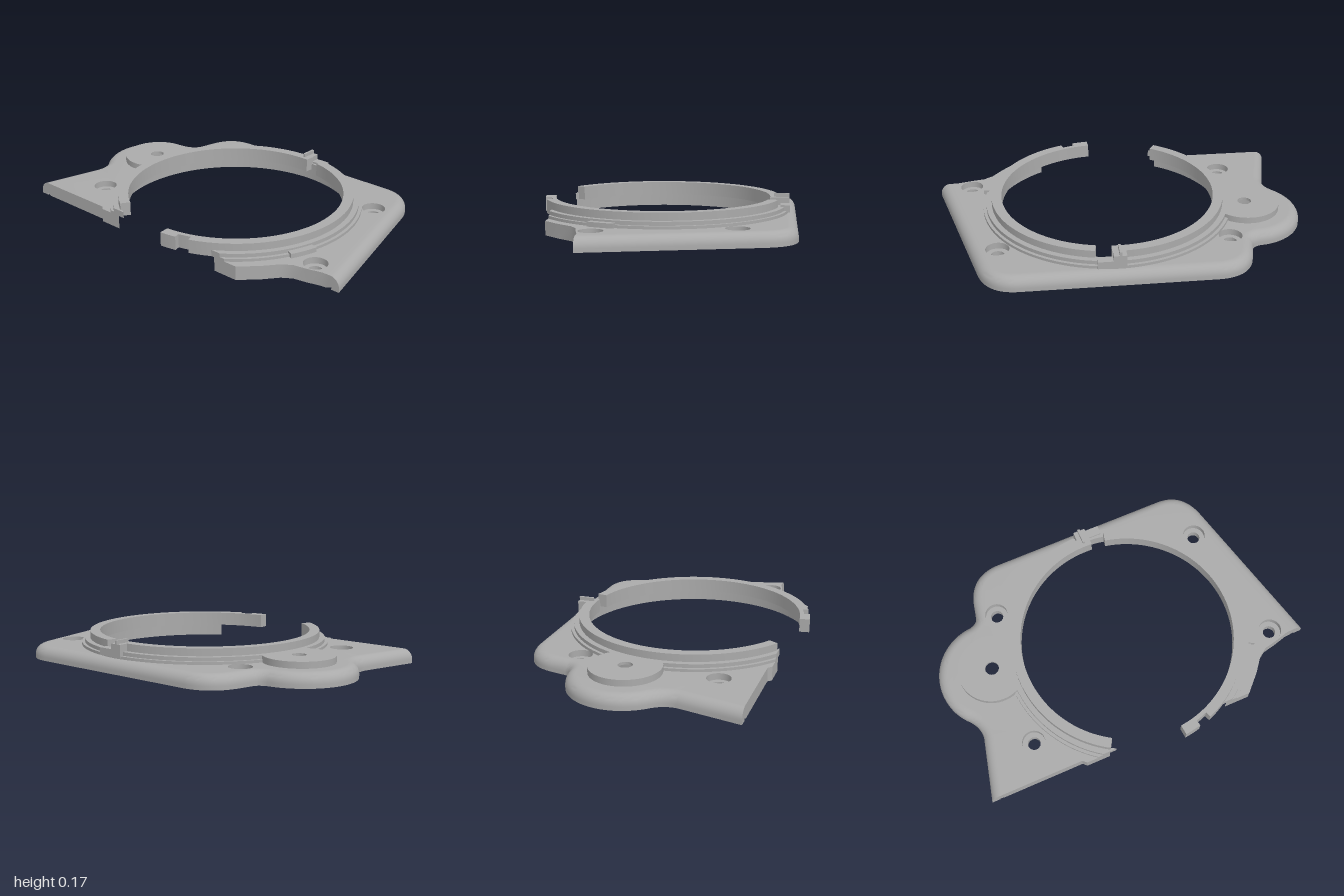
import * as THREE from 'three';
import { toCreasedNormals } from 'three/addons/utils/BufferGeometryUtils.js';

const RAD = Math.PI / 180;
const CX = 0.06, CZ = 0.045;          // centre of the ring opening
const FRONT = 0.6;                    // front cut of the ring steps
const TOP = 0.075;                    // top of the plate
const V2 = (x, z) => new THREE.Vector2(x, z);
const cutAngle = r => Math.asin((FRONT - CZ) / r);

function arc(cx, cz, r, a0, a1, n) {
  const pts = [];
  for (let i = 0; i <= n; i++) {
    const a = a0 + (a1 - a0) * i / n;
    pts.push(V2(cx + r * Math.cos(a), cz + r * Math.sin(a)));
  }
  return pts;
}
const circle = (x, z, r, n = 32) => arc(x, z, r, 0, 2 * Math.PI, n).slice(0, -1);

// circle trimmed where it would run into the ring opening
function trimmedCircle(x, z, r, ringR) {
  return circle(x, z, r, 72).map(p => {
    const d = V2(p.x - CX, p.y - CZ);
    if (d.length() < ringR) d.setLength(ringR);
    return V2(CX + d.x, CZ + d.y);
  });
}

// upright prism from a plan outline
function prism(points, y0, y1, holes = []) {
  const shape = new THREE.Shape(points);
  shape.holes = holes.map(h => new THREE.Path(h));
  const g = new THREE.ExtrudeGeometry(shape, { depth: y1 - y0, bevelEnabled: false });
  g.rotateX(Math.PI / 2).translate(0, y1, 0);
  return toCreasedNormals(g, 0.5);
}

// ring sector; the outer arc may end at different angles from the inner arc
function sector(r0, r1, y0, y1, a0, a1, b0 = a0, b1 = a1) {
  const n = Math.max(4, Math.ceil((a1 - a0) / (3 * RAD)));
  return prism([...arc(CX, CZ, r0, a0, a1, n), ...arc(CX, CZ, r1, b1, b0, n)], y0, y1);
}
function cutRing(r0, r1, y0, y1) {
  const a = cutAngle(r0), b = cutAngle(r1);
  return sector(r0, r1, y0, y1, Math.PI - a, 2 * Math.PI + a, Math.PI - b, 2 * Math.PI + b);
}

const SCREWS = [[-0.555, -0.39], [0.68, -0.39], [0.82, 0.315], [-0.64, 0.38]];
const HUB = [-0.695, -0.09];

function plateGeometry(recess) {
  const pos = [];
  const tri = (a, b, c) => { for (const p of [a, b, c]) pos.push(p.x, p.y, p.z); };
  const at = (pts, y) => pts.map(p => new THREE.Vector3(p.x, y, p.y));
  const strip = (a, b, closed) => {
    const n = a.length;
    for (let i = 0; i < (closed ? n : n - 1); i++) {
      const j = (i + 1) % n;
      tri(a[i], a[j], b[j]);
      tri(a[i], b[j], b[i]);
    }
  };
  // filled face turned towards the wanted direction
  const face = (flat, holes, to3, want) => {
    const contour = flat.slice(), inner = holes.map(h => h.slice());
    const all = contour.concat(...inner).map(to3);
    for (const [i, j, k] of THREE.ShapeUtils.triangulateShape(contour, inner)) {
      const n = all[j].clone().sub(all[i]).cross(all[k].clone().sub(all[i]));
      if (n.dot(want) > 0) tri(all[i], all[j], all[k]); else tri(all[i], all[k], all[j]);
    }
  };

  // outer edge: right front corner, round the back, to the left front corner
  const path = new THREE.Path();
  path.moveTo(1, 0.365);
  path.lineTo(0.785, -0.52);
  path.quadraticCurveTo(0.74, -0.69, 0.58, -0.69);
  path.lineTo(-0.45, -0.69);
  path.quadraticCurveTo(-0.61, -0.68, -0.65, -0.52);
  path.lineTo(-0.67, -0.43);
  path.quadraticCurveTo(-0.68, -0.4, -0.72, -0.39);
  path.absarc(-0.7, -0.09, 0.3, -95 * RAD, -220 * RAD, true);
  path.quadraticCurveTo(-0.87, 0.165, -0.88, 0.24);
  path.lineTo(-0.965, 0.58);
  const outer = path.getPoints(16);
  const last = outer.length - 1;
  const inward = outer.map((p, i) => {
    if (i === 0) return V2(-1, 0);
    if (i === last) return V2(1, 0);
    const t = outer[i + 1].clone().sub(outer[i - 1]).normalize();
    return V2(t.y, -t.x);
  });
  const inset = d => outer.map((p, i) => p.clone().addScaledVector(inward[i], d));

  // edge section (inset, height): seal groove below, rounded shoulder above
  const section = [V2(0.075, 0), V2(0.075, 0.025), V2(0.045, 0.025), V2(0.045, 0), V2(0, 0)];
  for (let i = 0; i <= 8; i++) {
    const a = i / 8 * Math.PI / 2;
    section.push(V2(0.055 * (1 - Math.cos(a)), 0.02 + 0.055 * Math.sin(a)));
  }
  const loops = section.map(s => at(inset(s.x), s.y));
  for (let i = 1; i < loops.length; i++) strip(loops[i - 1], loops[i]);
  const front = new THREE.Vector3(0, 0, 1);
  for (const e of [0, last])
    face(section, [], s => new THREE.Vector3(outer[e].x + inward[e].x * s.x, s.y, outer[e].y), front);

  // front edges and the round opening
  const R = 0.655, a = cutAngle(R);
  const inner = [V2(-0.44, 0.58), V2(-0.42, FRONT),
    ...arc(CX, CZ, R, Math.PI - a, 2 * Math.PI + a, 100),
    V2(0.55, FRONT), V2(0.64, 0.51), V2(0.7, 0.435), V2(0.75, 0.402), V2(0.82, 0.388), V2(0.9, 0.367)];
  const bottom = inset(0.075), top = inset(0.055);
  strip(at([bottom[last], ...inner, bottom[0]], 0), at([top[last], ...inner, top[0]], TOP));

  // counterbored screw holes and the hub recess
  const small = SCREWS.map(([x, z]) => circle(x, z, 0.035));
  const large = SCREWS.map(([x, z]) => circle(x, z, 0.063));
  small.forEach((s, i) => {
    const rows = [at(s, 0), at(s, 0.04), at(large[i], 0.04), at(large[i], TOP)];
    for (let k = 1; k < 4; k++) strip(rows[k - 1], rows[k], true);
  });
  strip(at(recess, 0), at(recess, TOP), true);
  const lift = y => p => new THREE.Vector3(p.x, y, p.y);
  face([...top, ...inner], [...large, recess], lift(TOP), new THREE.Vector3(0, 1, 0));
  face([...bottom, ...inner], [...small, recess], lift(0), new THREE.Vector3(0, -1, 0));

  const g = new THREE.BufferGeometry();
  g.setAttribute('position', new THREE.Float32BufferAttribute(pos, 3));
  return toCreasedNormals(g, 0.5);
}

export function createModel() {
  const group = new THREE.Group();
  const grey = new THREE.MeshStandardMaterial({ color: 0xaaaaaa });
  grey.name = 'grey';
  const add = (name, geometry) => {
    const m = new THREE.Mesh(geometry, grey);
    m.name = name;
    group.add(m);
  };
  const box = (x0, x1, y0, y1, z0, z1) => new THREE.BoxGeometry(x1 - x0, y1 - y0, z1 - z0)
    .translate((x0 + x1) / 2, (y0 + y1) / 2, (z0 + z1) / 2);

  // base plate and hub
  const recess = trimmedCircle(...HUB, 0.16, 0.672);
  const disc = trimmedCircle(...HUB, 0.19, 0.662);
  add('basePlate', plateGeometry(recess));
  add('hubWall', prism(disc, 0.07, 0.095, [recess]));
  add('hubTop', prism(disc, 0.095, 0.11, [circle(...HUB, 0.038)]));

  // stepped ring seat
  add('ringFlange', cutRing(0.656, 0.692, 0.07, 0.09));
  add('ringStep', cutRing(0.635, 0.675, TOP, 0.11));
  add('ringRamp', sector(0.67, 0.712, 0.07, 0.1, 14 * RAD, 26 * RAD));

  // open upper ring with a slot at the back and a hooked front end
  add('upperRingLeft', sector(0.59, 0.645, TOP, 0.15, 121.8 * RAD, 273.8 * RAD));
  add('upperRingRight', sector(0.59, 0.645, TOP, 0.15, 281.5 * RAD, 430 * RAD));
  add('ringNeck', sector(0.59, 0.613, TOP, 0.15, 69.5 * RAD, 77 * RAD));
  add('ringHook', sector(0.59, 0.645, TOP, 0.15, 76.5 * RAD, 84.6 * RAD));

  // latch at the back of the ring
  add('latchBlock', box(0.03, 0.098, 0.08, 0.15, -0.65, -0.57));
  add('latchRib', box(0.055, 0.068, 0.11, 0.17, -0.65, -0.565));
  add('latchStop', box(0.098, 0.18, 0.08, 0.12, -0.65, -0.6));
  return group;
}
